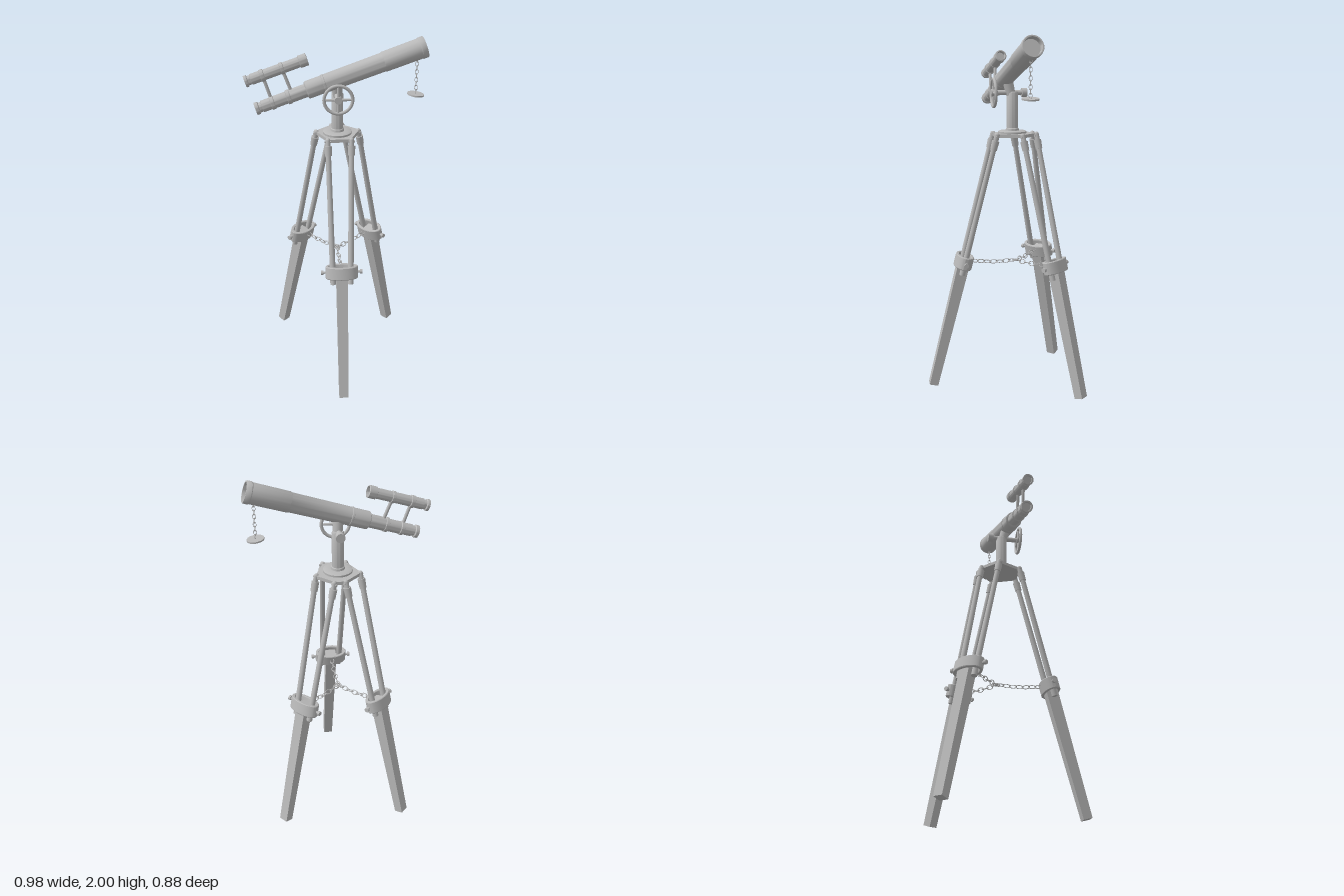
import * as THREE from 'three';
import { toCreasedNormals } from 'three/addons/utils/BufferGeometryUtils.js';

const V = (x, y, z) => new THREE.Vector3(x, y, z);
const UP = V(0, 1, 0);

export function createModel() {
  const model = new THREE.Group();
  model.name = 'telescopeOnTripod';
  const grey = new THREE.MeshStandardMaterial({ color: 0xb8b8b8 });
  grey.name = 'plain grey';

  function add(parent, name, geometry, pos) {
    const mesh = new THREE.Mesh(geometry, grey);
    mesh.name = name;
    if (pos) mesh.position.copy(pos);
    parent.add(mesh);
    return mesh;
  }

  // round bar between two points
  function rod(parent, name, a, b, ra, rb = ra, sides = 20) {
    const d = b.clone().sub(a);
    const mesh = add(parent, name, new THREE.CylinderGeometry(rb, ra, d.length(), sides));
    mesh.position.copy(a).addScaledVector(d, 0.5);
    mesh.quaternion.setFromUnitVectors(UP, d.normalize());
    return mesh;
  }

  // turned part whose profile [radius, distance] runs from a towards b
  function turned(parent, name, profile, a, b) {
    const pts = profile.map(([r, s]) => new THREE.Vector2(r, s));
    const geo = toCreasedNormals(new THREE.LatheGeometry(pts, 32), 0.6);
    const mesh = add(parent, name, geo, a);
    mesh.quaternion.setFromUnitVectors(UP, b.clone().sub(a).normalize());
    return mesh;
  }

  // oval links strung along a curve, every other one rolled a quarter turn
  function chain(name, points, count, size) {
    const group = new THREE.Group();
    group.name = name;
    const curve = new THREE.CatmullRomCurve3(points);
    const link = new THREE.TorusGeometry(size, size * 0.18, 6, 14);
    link.scale(1.6, 1, 1);
    for (let i = 0; i < count; i++) {
      const u = (i + 0.5) / count;
      const mesh = add(group, 'chainLink', link, curve.getPointAt(u));
      mesh.quaternion.setFromUnitVectors(V(1, 0, 0), curve.getTangentAt(u));
      mesh.rotateX(i % 2 ? 0.35 : Math.PI / 2 + 0.35);
    }
    model.add(group);
  }

  // main tube
  const A = V(-0.435, 1.645, 0.005), B = V(0.472, 1.945, -0.065);
  const axis = B.clone().sub(A).normalize();
  turned(model, 'mainTube', [
    [0, 0.008], [0.022, 0.008], [0.025, 0], [0.034, 0], [0.034, 0.018], [0.027, 0.022], [0.027, 0.036],
    [0.032, 0.038], [0.032, 0.085], [0.037, 0.088], [0.037, 0.104], [0.033, 0.107], [0.033, 0.175],
    [0.039, 0.178], [0.039, 0.194], [0.036, 0.197], [0.036, 0.285], [0.044, 0.287], [0.048, 0.291],
    [0.048, 0.38], [0.051, 0.382], [0.051, 0.392], [0.049, 0.394], [0.051, 0.72], [0.054, 0.725],
    [0.055, 0.925], [0.058, 0.929], [0.058, 0.953], [0.056, 0.957], [0.049, 0.957], [0.047, 0.925], [0, 0.925],
  ], A, B);

  // finder scope on two posts
  const FA = V(-0.484, 1.794, 0.002), FB = V(-0.156, 1.9, -0.027);
  turned(model, 'finderScope', [
    [0, 0.006], [0.02, 0.006], [0.022, 0], [0.031, 0], [0.031, 0.014], [0.025, 0.018], [0.025, 0.032],
    [0.029, 0.034], [0.029, 0.085], [0.033, 0.087], [0.033, 0.105], [0.028, 0.107], [0.028, 0.195],
    [0.032, 0.197], [0.032, 0.213], [0.028, 0.215], [0.028, 0.3], [0.033, 0.303], [0.033, 0.344],
    [0.026, 0.346], [0.024, 0.325], [0, 0.325],
  ], FA, FB);
  for (const [f, m] of [[0.097, 0.096], [0.205, 0.21]]) {
    rod(model, 'finderPost', A.clone().addScaledVector(axis, m),
      FA.clone().addScaledVector(FB.clone().sub(FA).normalize(), f), 0.009);
  }

  // pedestal and tube saddle
  turned(model, 'pedestal', [
    [0, 0], [0.08, 0], [0.08, 0.012], [0.07, 0.017], [0.038, 0.017], [0.036, 0.028], [0.032, 0.032],
    [0.032, 0.225], [0.028, 0.232], [0, 0.232],
  ], V(0.004, 1.472, -0.06), V(0.004, 2, -0.06));
  rod(model, 'saddle', V(0.004, 1.685, -0.052), V(0, 1.77, -0.032), 0.026, 0.03);
  rod(model, 'axle', V(0, 1.698, 0.055), V(0, 1.698, -0.125), 0.014);
  rod(model, 'axleKnob', V(0, 1.698, -0.112), V(0, 1.698, -0.142), 0.025);

  // hand wheel
  const wheel = new THREE.Group();
  wheel.name = 'handWheel';
  wheel.position.set(0.002, 1.698, 0.046);
  add(wheel, 'wheelRim', new THREE.TorusGeometry(0.076, 0.009, 12, 40));
  rod(wheel, 'wheelHub', V(0, 0, -0.012), V(0, 0, 0.014), 0.02);
  for (let i = 0; i < 4; i++) {
    const t = i * Math.PI / 2;
    rod(wheel, 'wheelSpoke', V(0, 0, 0), V(0.074 * Math.cos(t), 0.074 * Math.sin(t), 0), 0.009, 0.006, 10);
  }
  model.add(wheel);

  // six-cornered head plate
  const corners = [[-0.05, 0.045], [0.07, 0.045], [0.13, -0.1], [0.035, -0.187], [-0.02, -0.187], [-0.118, -0.095]];
  const plate = new THREE.ExtrudeGeometry(
    new THREE.Shape(corners.map(([x, z]) => new THREE.Vector2(x, -z))), { depth: 0.018, bevelEnabled: false });
  plate.rotateX(-Math.PI / 2);
  add(model, 'headPlate', plate, V(0, 1.456, 0));

  // tapered foot post
  const post = new THREE.BoxGeometry(1, 0.775, 1);
  post.translate(0, 0.3875, 0);
  const p = post.attributes.position;
  for (let i = 0; i < p.count; i++) {
    const top = p.getY(i) > 0.1;
    p.setX(i, p.getX(i) * (top ? 0.064 : 0.053));
    p.setZ(i, p.getZ(i) * (top ? 0.068 : 0.05));
  }
  post.computeVertexNormals();

  // oval clamp band
  const oval = new THREE.Shape().absellipse(0, 0, 0.089, 0.049, 0, Math.PI * 2);
  oval.holes.push(new THREE.Path().absellipse(0, 0, 0.076, 0.037, 0, Math.PI * 2));
  let band = new THREE.ExtrudeGeometry(oval, {
    depth: 0.064, bevelSize: 0.003, bevelThickness: 0.004, bevelSegments: 1, curveSegments: 28 });
  band.rotateX(-Math.PI / 2);
  band.translate(0, -0.032, 0);
  band = toCreasedNormals(band, 0.6);

  // legs, each built upright and then leaned from its foot to the head
  const legs = [
    ['frontLeg', V(0.01, 0.007, 0.412), V(0.01, 1.45, 0.045)],
    ['backRightLeg', V(-0.335, 0.007, -0.405), V(-0.07, 1.45, -0.14)],
    ['backLeftLeg', V(0.36, 0.007, -0.385), V(0.085, 1.45, -0.145)],
  ];
  const hubPoint = V(0.005, 0.735, -0.08);
  for (const [name, foot, top] of legs) {
    const leg = new THREE.Group();
    leg.name = name;
    const y = top.clone().sub(foot), L = y.length();
    y.normalize();
    const x = V(foot.z - top.z, 0, top.x - foot.x).normalize();
    leg.quaternion.setFromRotationMatrix(new THREE.Matrix4().makeBasis(x, y, x.clone().cross(y)));
    leg.position.copy(foot);
    add(leg, 'footPost', post);
    const c = 0.762;
    add(leg, 'clampBand', band, V(0, c, 0));
    for (const s of [-1, 1]) {
      const at = (h) => V(s * (0.05 + 0.014 * (h - 0.7) / 0.78), h, 0);
      rod(leg, 'upperRod', at(0.69), at(L - 0.01), 0.0165, 0.0145);
      rod(leg, 'rodCap', at(L - 0.065), at(L - 0.012), 0.019, 0.021);
      const joint = add(leg, 'rodJoint', new THREE.CapsuleGeometry(0.013, 0.04, 6, 14), at(L));
      joint.scale.z = 1.15;
      rod(leg, 'jointPin', at(L + 0.012).add(V(-0.018, 0, 0)), at(L + 0.012).add(V(0.018, 0, 0)), 0.006, 0.006, 10);
      rod(leg, 'clampBolt', V(s * 0.04, c, 0), V(s * 0.108, c, 0), 0.007, 0.007, 12);
      rod(leg, 'boltHead', V(s * 0.103, c, 0), V(s * 0.117, c, 0), 0.013, 0.013, 12);
    }
    model.add(leg);

    // spreader chain from the clamp to the centre
    const end = foot.clone().addScaledVector(y, c);
    const inward = hubPoint.clone().sub(end).setY(0).normalize();
    end.addScaledVector(inward, 0.045);
    const mid = end.clone().lerp(hubPoint, 0.5);
    mid.y -= 0.008;
    chain(name + 'Chain', [end, mid, hubPoint], Math.round(end.distanceTo(hubPoint) / 0.036), 0.013);
  }
  const ring = add(model, 'chainRing', new THREE.TorusGeometry(0.018, 0.003, 6, 20), hubPoint);
  ring.rotation.x = Math.PI / 2;

  // lens cap hanging on its chain
  chain('capChain', [V(0.43, 1.885, -0.062), V(0.43, 1.79, -0.062), V(0.43, 1.69, -0.062)], 9, 0.0085);
  const cap = add(model, 'lensCap', new THREE.CylinderGeometry(0.046, 0.046, 0.008, 32), V(0.43, 1.685, -0.062));
  cap.rotation.z = -0.12;

  return model;
}
